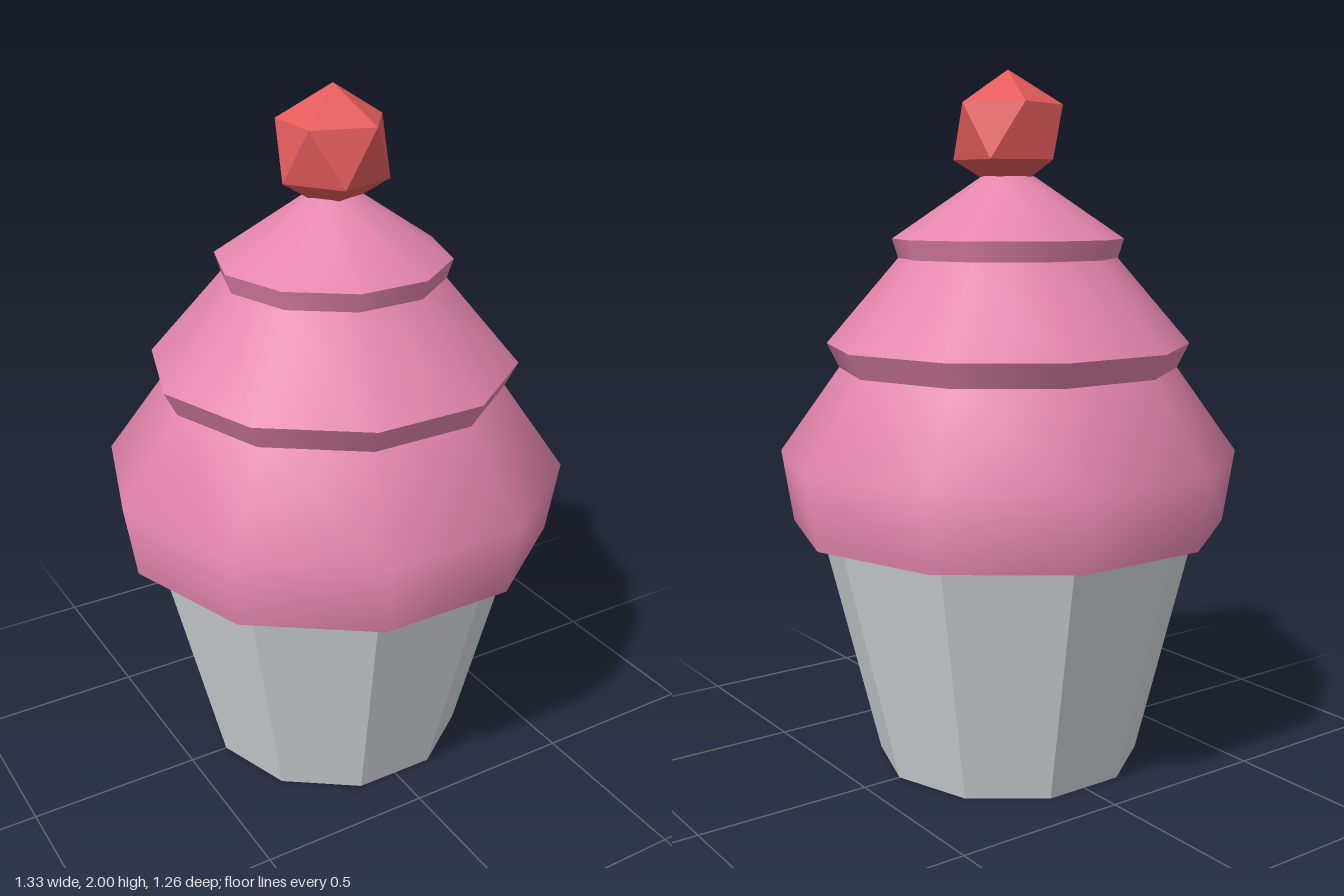
import * as THREE from 'three';

const SIDES = 10;

const material = (name, color, flatShading = false) => {
  const m = new THREE.MeshStandardMaterial({ color, flatShading });
  m.name = name;
  return m;
};

export function createModel() {
  const paper = material('paperGrey', 0xd3d7db, true);
  const icing = material('icingPink', 0xe385ab);
  const red = material('cherryRed', 0xe55c5c, true);

  const model = new THREE.Group();
  model.name = 'cupcake';

  const add = (parent, name, geometry, mat) => {
    const mesh = new THREE.Mesh(geometry, mat);
    mesh.name = name;
    parent.add(mesh);
    return mesh;
  };

  // Tapered ten-sided paper case, corners on the x axis
  const caseGeometry = new THREE.CylinderGeometry(0.56, 0.385, 0.705, SIDES, 1, false, Math.PI / 2);
  add(model, 'paperCase', caseGeometry, paper).position.y = 0.3525;

  // Icing: each band is smooth around, with sharp edges between bands
  const frosting = new THREE.Group();
  frosting.name = 'frosting';
  model.add(frosting);
  const bands = {
    underside: [[0, 0.705], [0.632, 0.705]],
    lowerTier: [[0.632, 0.705], [0.665, 0.915], [0.49, 1.16]],
    middleLip: [[0.49, 1.16], [0.525, 1.23]],
    middleTier: [[0.525, 1.23], [0.315, 1.475]],
    upperLip: [[0.315, 1.475], [0.332, 1.53]],
    upperTier: [[0.332, 1.53], [0.075, 1.705]],
    peak: [[0.075, 1.705], [0, 1.705]],
  };
  for (const [name, profile] of Object.entries(bands)) {
    const points = profile.map(([r, y]) => new THREE.Vector2(r, y));
    add(frosting, name, new THREE.LatheGeometry(points, SIDES, Math.PI / 2), icing);
  }

  // Faceted cherry, turned to stand on a corner
  const cherryGeometry = new THREE.IcosahedronGeometry(0.173, 0);
  cherryGeometry.rotateZ(-Math.atan(2 / (1 + Math.sqrt(5))));
  add(model, 'cherry', cherryGeometry, red).position.y = 1.827;

  return model;
}
